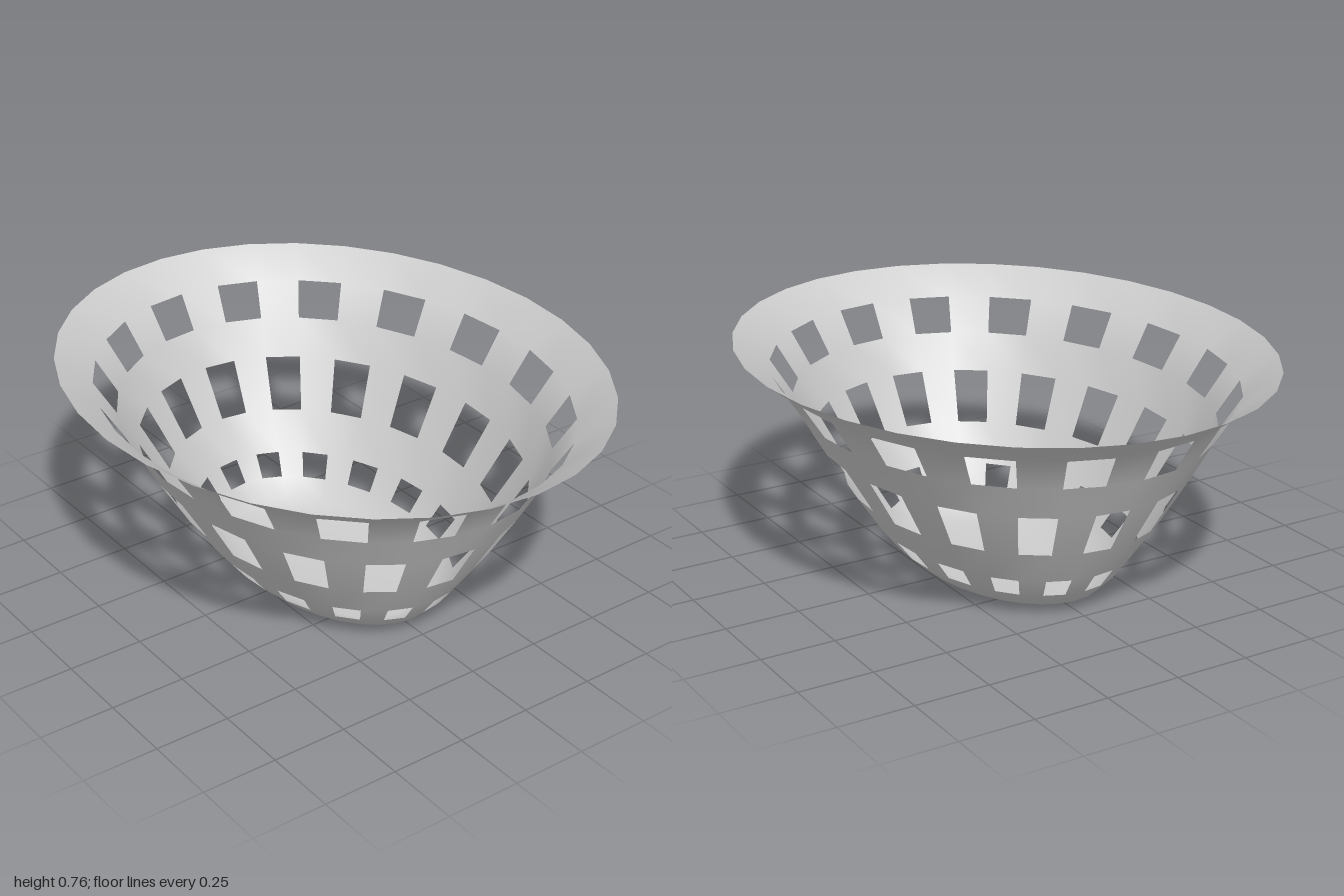
import * as THREE from 'three';

const SIDES = 32;

// Oval rings from base to rim: [y, half width in x, half depth in z]
const RINGS = [
  [0, 0.36, 0.2],
  [0.03, 0.445, 0.28],
  [0.085, 0.5, 0.338],
  [0.155, 0.552, 0.392],
  [0.28, 0.638, 0.475],
  [0.44, 0.735, 0.57],
  [0.56, 0.803, 0.637],
  [0.672, 0.872, 0.71],
  [0.76, 1, 0.825],
];

// Bands with openings: ring index -> which of every two panels is left out
const OPENINGS = { 2: 0, 4: 1, 6: 0 };

function basketGeometry() {
  const positions = [];
  const index = [];
  for (const [y, rx, rz] of RINGS) {
    for (let j = 0; j < SIDES; j++) {
      const a = (j / SIDES) * Math.PI * 2;
      positions.push(rx * Math.sin(a), y, rz * Math.cos(a));
    }
  }
  const center = RINGS.length * SIDES;
  positions.push(0, 0, 0);

  for (let j = 0; j < SIDES; j++) {
    const k = (j + 1) % SIDES;
    // base
    index.push(center, k, j);
    // wall, skipping the staggered openings
    for (let i = 0; i < RINGS.length - 1; i++) {
      if (OPENINGS[i] === j % 2) continue;
      const lo = i * SIDES, hi = lo + SIDES;
      index.push(lo + j, lo + k, hi + k, lo + j, hi + k, hi + j);
    }
  }

  const geometry = new THREE.BufferGeometry();
  geometry.setAttribute('position', new THREE.Float32BufferAttribute(positions, 3));
  geometry.setIndex(index);
  geometry.computeVertexNormals();
  return geometry;
}

export function createModel() {
  const group = new THREE.Group();
  group.name = 'openworkBasket';
  const material = new THREE.MeshStandardMaterial({ color: 0xcccccc, side: THREE.DoubleSide });
  const basket = new THREE.Mesh(basketGeometry(), material);
  basket.name = 'basketBowl';
  group.add(basket);
  return group;
}
